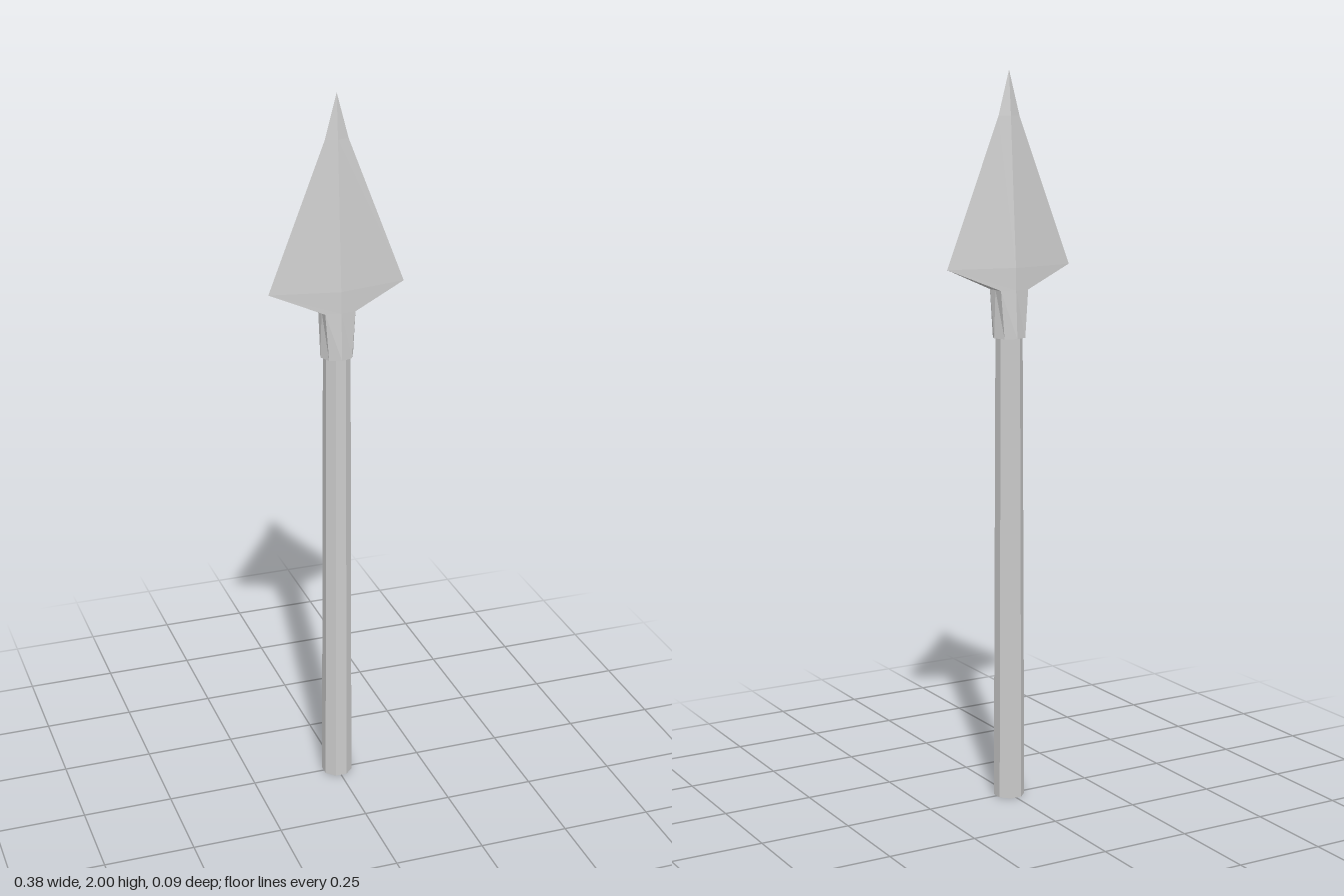
import * as THREE from 'three';

const material = new THREE.MeshStandardMaterial({ color: 0xcccccc, flatShading: true });

// Eight-point ring: side points, four mirrored corners, front and back ridge points
function ring(y, side, cornerX, cornerZ, depth) {
  return [
    [side, 0], [cornerX, cornerZ], [0, depth], [-cornerX, cornerZ],
    [-side, 0], [-cornerX, -cornerZ], [0, -depth], [cornerX, -cornerZ],
  ].map(([x, z]) => new THREE.Vector3(x, y, z));
}

// Skin between successive rings, closed at both ends, collapsed triangles dropped
function loft(name, rings) {
  const positions = [];
  const tri = (a, b, c) => {
    if (new THREE.Triangle(a, b, c).getArea() < 1e-8) return;
    for (const p of [a, b, c]) positions.push(p.x, p.y, p.z);
  };
  for (let r = 0; r < rings.length - 1; r++) {
    const low = rings[r], high = rings[r + 1];
    for (let i = 0; i < 8; i++) {
      const j = (i + 1) % 8;
      tri(low[i], high[i], high[j]);
      tri(low[i], high[j], low[j]);
    }
  }
  const first = rings[0], last = rings[rings.length - 1];
  for (let i = 1; i < 7; i++) {
    tri(first[0], first[i], first[i + 1]);
    tri(last[0], last[i + 1], last[i]);
  }
  const geometry = new THREE.BufferGeometry();
  geometry.setAttribute('position', new THREE.Float32BufferAttribute(positions, 3));
  geometry.computeVertexNormals();
  const mesh = new THREE.Mesh(geometry, material);
  mesh.name = name;
  return mesh;
}

export function createModel() {
  const group = new THREE.Group();
  group.name = 'spear';

  // Tapered eight-sided pole with flats facing front and sides
  const shaftGeometry = new THREE.CylinderGeometry(0.037, 0.043, 1.31, 8);
  shaftGeometry.rotateY(Math.PI / 8);
  const shaft = new THREE.Mesh(shaftGeometry, material);
  shaft.name = 'shaft';
  shaft.position.y = 0.655;
  group.add(shaft);

  // Socket: octagon at the pole, squarer where it meets the blade
  const neck = ring(1.42, 0.042, 0.042, 0.03, 0.038);
  group.add(loft('socket', [ring(1.29, 0.046, 0.032, 0.032, 0.045), neck]));

  // Blade: swept wings, diamond section, narrow point
  group.add(loft('blade', [
    neck,
    ring(1.48, 0.188, 0.188, 0, 0.037),
    ring(1.88, 0.032, 0.032, 0, 0.01),
    ring(2, 0, 0, 0, 0),
  ]));

  return group;
}
